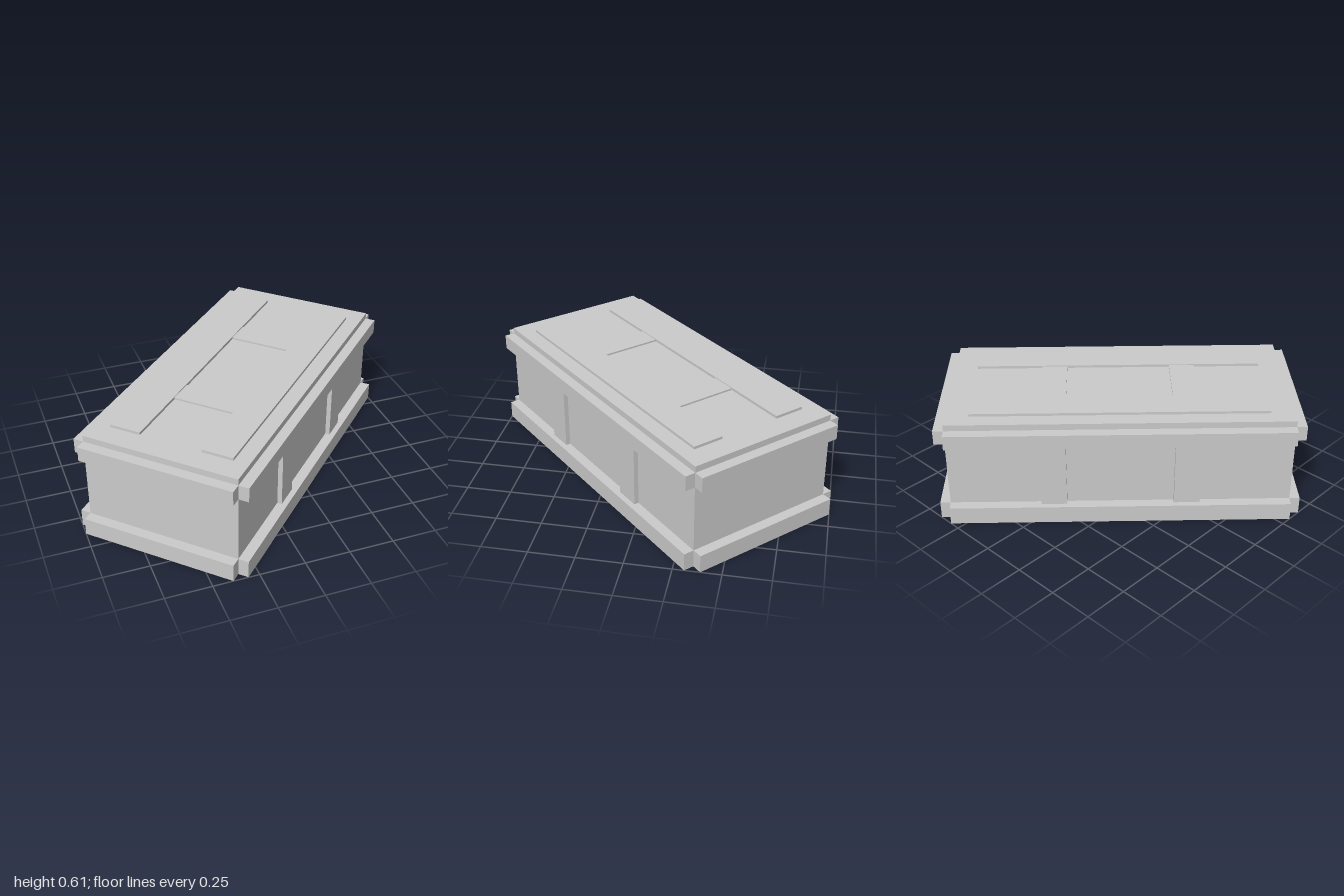
import * as THREE from 'three';

const material = new THREE.MeshStandardMaterial({
  color: 0xcccccc, flatShading: true, side: THREE.DoubleSide,
});

const FACES = ['+x', '-x', '+y', '-y', '+z', '-z'];

// Box between two ranges per axis, keeping only the listed faces (thin open shell)
function shell(name, [x0, x1], [y0, y1], [z0, z1], keep) {
  const geo = new THREE.BoxGeometry(x1 - x0, y1 - y0, z1 - z0);
  const kept = keep.split(' ').flatMap((f) => {
    const start = FACES.indexOf(f) * 6;
    return Array.from(geo.index.array.slice(start, start + 6));
  });
  geo.setIndex(kept);
  geo.clearGroups();
  geo.translate((x0 + x1) / 2, (y0 + y1) / 2, (z0 + z1) / 2);
  const mesh = new THREE.Mesh(geo, material);
  mesh.name = name;
  return mesh;
}

const points = (list) => list.map(([x, z]) => new THREE.Vector2(x, z));
const rect = (x, z) => points([[-x, -z], [x, -z], [x, z], [-x, z]]);

export function createModel() {
  const L = 0.926, W = 0.431;           // half length and half width of the body
  const rail = 0.057, slat = 0.026;     // how far rails and slats stand out
  const yBase = 0.1, yRim = 0.477, yLid = 0.56, yTop = 0.595, yStrip = 0.61, yBar = 0.605;
  const a = 0.29, b = 0.431;            // slat and crossbar edges along the length
  const s0 = 0.173, s1 = 0.346, sL = 0.8; // lid strip edges

  const crate = new THREE.Group();
  crate.name = 'crate';

  // Hollow body walls, open underneath
  crate.add(shell('endWalls', [-L, L], [yBase, yRim], [-W, W], '+x -x'));
  for (const range of [[-L, -b], [-a, a], [b, L]]) {
    crate.add(shell('sideWalls', range, [yBase, yRim], [-W, W], '+z -z'));
  }
  crate.add(shell('lidEdge', [-L, L], [yLid, yTop], [-W, W], '+x -x +z -z'));

  for (const side of [1, -1]) {
    const out = (from, to) => (side > 0 ? [from, to] : [-to, -from]);
    const sign = side > 0 ? '+' : '-';

    // Base and rim rails around the body
    for (const [name, y, caps] of [['base', [0, yBase], '+y'], ['rim', [yRim, yLid], '+y -y']]) {
      crate.add(shell(name + 'SideRail', [-L, L], y, out(W, W + rail), `${sign}z +x -x ${caps}`));
      crate.add(shell(name + 'EndRail', out(L, L + rail), y, [-W, W], `${sign}x +z -z ${caps}`));
    }

    // Two upright slats on each long side
    for (const range of [[-b, -a], [a, b]]) {
      crate.add(shell('sideSlat', range, [yBase, yRim], out(W, W + slat), `${sign}z +x -x`));
    }

    // Raised strips and crossbars on the lid
    crate.add(shell('lidStrip', [-sL, sL], [yTop, yStrip], out(s0, s1), '+x -x +y +z -z'));
    crate.add(shell('lidCrossbar', out(a, b), [yTop, yBar], [-s0, s0], '+x -x +y'));
  }

  // Lid panel, cut out below the raised strips
  const lid = new THREE.Shape(rect(L, W));
  lid.holes.push(new THREE.Path(points([
    [-sL, -s1], [sL, -s1], [sL, -s0], [b, -s0], [b, s0], [sL, s0],
    [sL, s1], [-sL, s1], [-sL, s0], [-b, s0], [-b, -s0], [-sL, -s0],
  ])));
  const lidGeo = new THREE.ShapeGeometry([lid, new THREE.Shape(rect(a, s0))]);
  lidGeo.rotateX(-Math.PI / 2).translate(0, yTop, 0);
  const lidMesh = new THREE.Mesh(lidGeo, material);
  lidMesh.name = 'lidPanel';
  crate.add(lidMesh);

  // The crate stands diagonally
  crate.rotation.y = Math.PI / 4;
  const model = new THREE.Group();
  model.name = 'model';
  model.add(crate);
  return model;
}
